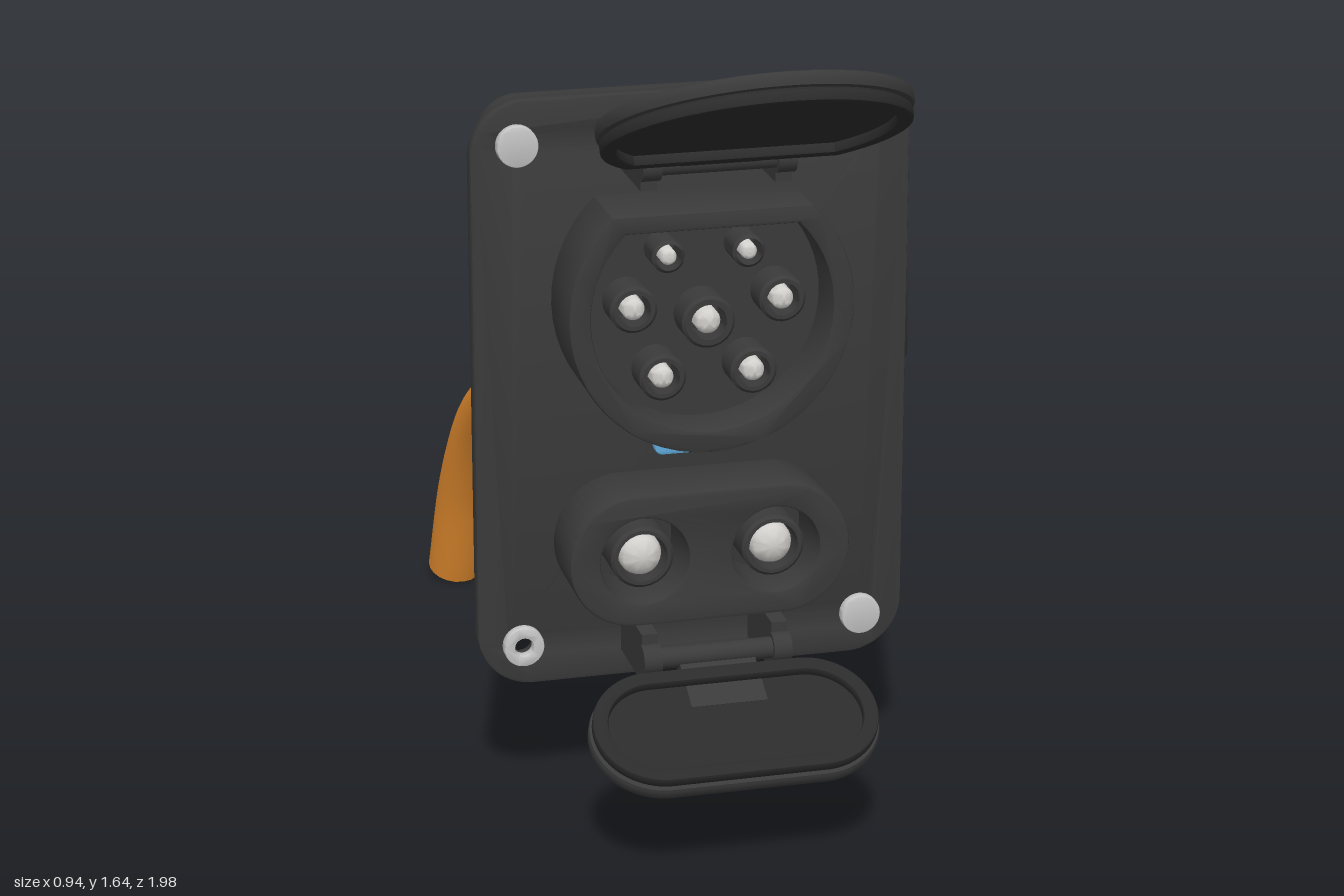
import * as THREE from 'three';
import { toCreasedNormals } from 'three/addons/utils/BufferGeometryUtils.js';

const CX = -0.04; // centre line of the housing
const material = (name, color) => {
  const m = new THREE.MeshStandardMaterial({ color });
  m.name = name;
  return m;
};

// Shapes
function roundRect(w, h, r, cx = 0, cy = 0) {
  const s = new THREE.Shape(), x = w / 2 - r, y = h / 2 - r;
  s.absarc(cx + x, cy + y, r, 0, Math.PI / 2);
  s.absarc(cx - x, cy + y, r, Math.PI / 2, Math.PI);
  s.absarc(cx - x, cy - y, r, Math.PI, Math.PI * 1.5);
  s.absarc(cx + x, cy - y, r, Math.PI * 1.5, Math.PI * 2);
  s.closePath();
  return s;
}
// Circle with one flat side, at the top or at the bottom
function cutCircle(r, cut, flatTop) {
  const s = new THREE.Shape(), b = Math.asin(cut / r), o = flatTop ? Math.PI : 0;
  s.absarc(0, 0, r, o - b, o + Math.PI + b);
  s.closePath();
  return s;
}
const circle = (r, x = 0, y = 0) => new THREE.Shape().absarc(x, y, r, 0, Math.PI * 2);
function withHoles(shape, ...holes) {
  shape.holes.push(...holes);
  return shape;
}

// Slab between two z values, with an edge rounding inside its outline
function slab(shape, z0, z1, bevel = 0, steps = 2) {
  const g = new THREE.ExtrudeGeometry(shape, {
    depth: z1 - z0 - 2 * bevel, bevelEnabled: bevel > 0, bevelSize: bevel,
    bevelThickness: bevel, bevelOffset: -bevel, bevelSegments: steps, curveSegments: 20,
  });
  g.translate(0, 0, z0 + bevel);
  return toCreasedNormals(g, 0.6);
}
// Turned part along z; profile is [radius, z]
function turned(profile, sides = 24) {
  const pts = profile.map(([r, z]) => new THREE.Vector2(r, z));
  return toCreasedNormals(new THREE.LatheGeometry(pts, sides).rotateX(Math.PI / 2).scale(1, 1, 1), 0.7);
}

export function createModel() {
  const root = new THREE.Group();
  root.name = 'chargingInlet';
  const black = material('black plastic', 0x3a3a3a);
  const dark = material('dark seal', 0x2b2b2b);
  const orange = material('orange cable', 0xe08a2e);
  const steel = material('screw steel', 0xc6c6c6);
  const metal = material('contact metal', 0xd2d0cc);
  const blue = material('blue lamp', 0x5fa9d9);
  const add = (name, geo, mat, x = 0, y = 0, z = 0, parent = root) => {
    const m = new THREE.Mesh(geo, mat);
    m.name = name;
    m.position.set(x, y, z);
    parent.add(m);
    return m;
  };

  // Housing and mounting plate
  const corners = [[-0.342, 0.505], [0.342, 0.505], [-0.342, -0.505], [0.342, -0.505]];
  const plate = withHoles(roundRect(0.86, 1.18, 0.11), ...corners.map(([x, y]) => circle(0.024, x, y)));
  add('mountingPlate', slab(plate, 0.25, 0.285, 0.006), black, CX, 0.845);
  add('housing', slab(roundRect(0.675, 0.99, 0.085), -0.16, 0.255, 0.035, 5), black, CX, 0.845);

  // Corner screws, the lower right one hollow
  corners.forEach(([x, y], i) => {
    const head = i === 2 ? withHoles(circle(0.04), circle(0.018)) : circle(0.04);
    add('screw', slab(head, 0.28, 0.305, 0.004), steel, CX + x, 0.845 + y);
  });

  // Side actuator
  const a = 0.13, actuator = [[0, -a], [0.075, -a], [0.084, -a + 0.004], [0.088, -a + 0.013],
    [0.088, a - 0.013], [0.084, a - 0.004], [0.075, a], [0, a]];
  add('actuator', toCreasedNormals(new THREE.LatheGeometry(
    actuator.map(([r, y]) => new THREE.Vector2(r, y)), 36), 0.7), black, 0.377, 0.92, 0.048);

  // Upper socket
  add('upperSocket', slab(withHoles(cutCircle(0.278, 0.2, true), cutCircle(0.235, 0.165, true)),
    0.28, 0.44, 0.006), black, CX, 1.04);
  add('upperSocketFloor', slab(cutCircle(0.245, 0.172, true), 0.28, 0.34), black, CX, 1.04);

  // Sleeved contact pin
  const contact = (x, y, ro, ri, rp, z0, z1) => {
    add('contactSleeve', turned([[ro, z0], [ro, z1 - 0.006], [ro - 0.006, z1], [ri, z1], [ri, z0]]), black, x, y);
    const t = z1 + 0.005;
    add('contactPin', turned([[rp, z0], [rp, t - rp * 0.7], [rp * 0.87, t - rp * 0.35],
      [rp * 0.5, t - rp * 0.1], [0, t]]), metal, x, y);
  };
  [[-0.078, 1.147, 0.032, 0.016], [0.078, 1.147, 0.032, 0.016], [-0.145, 1.048, 0.046, 0.022],
    [0.145, 1.048, 0.046, 0.022], [0, 1.013, 0.052, 0.025], [-0.089, 0.909, 0.046, 0.022],
    [0.089, 0.909, 0.046, 0.022]].forEach(([x, y, ro, rp]) =>
    contact(CX + x, y, ro, rp + 0.01, rp, 0.33, 0.41));

  // Lamp between the sockets
  add('statusLamp', slab(roundRect(0.16, 0.034, 0.0165), 0.28, 0.305, 0.004), blue, CX, 0.732);

  // Lower socket with two power contacts
  add('lowerSocket', slab(withHoles(roundRect(0.555, 0.265, 0.132), circle(0.087, -0.13, 0), circle(0.087, 0.13, 0)),
    0.28, 0.43, 0.006), black, CX, 0.548);
  for (const s of [-1, 1]) contact(CX + s * 0.13, 0.548, 0.062, 0.049, 0.042, 0.285, 0.41);

  // Lids: local y points away from the hinge, local z is the inner side
  const lid = (name, dir, y, z, outline, reach) => {
    const g = new THREE.Group();
    g.name = name;
    const d = new THREE.Vector3(0, dir * 0.47, 0.883), n = new THREE.Vector3(0, -dir * 0.883, 0.47);
    g.quaternion.setFromRotationMatrix(new THREE.Matrix4().makeBasis(new THREE.Vector3(dir, 0, 0), d, n));
    g.position.set(CX, y, z);
    add('lidCover', slab(outline(0), 0, 0.028, 0.006), black, 0, 0, 0, g);
    add('lidCore', slab(outline(0.012), 0.02, 0.035), dark, 0, 0, 0, g);
    add('lidRim', slab(withHoles(outline(0.005), outline(0.035)), 0.031, 0.054, 0.005), dark, 0, 0, 0, g);
    add('lidArm', new THREE.BoxGeometry(0.15, 0.13, 0.024), black, 0, -reach + 0.06, 0.024, g);
    root.add(g);

    // Hinge brackets and pin
    const hy = dir > 0 ? 1.345 : 0.36;
    for (const s of [-1, 1]) {
      add('hingeBracket', new THREE.BoxGeometry(0.032, 0.1, 0.175), black, CX + s * 0.129, hy, 0.3725);
      add('hingeKnuckle', new THREE.CylinderGeometry(0.03, 0.03, 0.036, 20).rotateZ(Math.PI / 2),
        black, CX + s * 0.129, hy, 0.463);
    }
    add('hingePin', new THREE.CylinderGeometry(0.021, 0.021, 0.26, 16).rotateZ(Math.PI / 2), black, CX, hy, 0.463);
  };
  lid('upperLid', 1, 1.508, 0.715, (i) => cutCircle(0.285 - i, 0.2 - i, false), 0.3);
  lid('lowerLid', -1, 0.247, 0.6, (i) => roundRect(0.565 - 2 * i, 0.27 - 2 * i, 0.134 - i), 0.173);

  // Cables leaving the back
  const cable = (name, mat, r, pts) => {
    const curve = new THREE.CatmullRomCurve3(pts.map((p) => new THREE.Vector3(...p)));
    add(name, new THREE.TubeGeometry(curve, 48, r, 20), mat);
    const end = add(name + 'End', new THREE.CircleGeometry(r, 20), mat, ...pts[pts.length - 1]);
    end.lookAt(end.position.clone().add(curve.getTangent(1)));
  };
  const gland = (x, y, r) =>
    add('cableGland', slab(circle(r), -0.295, -0.15, 0.005), black, x, y);
  for (const s of [-1, 1]) {
    const x = (o) => CX + s * o;
    gland(x(0.16), 0.623, 0.079);
    cable('powerCable', orange, 0.061, [[x(0.16), 0.63, -0.26], [x(0.172), 0.612, -0.45], [x(0.192), 0.545, -0.61],
      [x(0.213), 0.435, -0.74], [x(0.23), 0.26, -0.85], [x(0.243), 0.025, -0.937]]);
  }
  gland(CX, 1.07, 0.057);
  cable('middleCable', orange, 0.039, [[CX, 1.09, -0.26], [CX, 1.083, -0.38], [CX, 1.005, -0.51],
    [CX, 0.85, -0.62], [CX, 0.62, -0.72], [CX, 0.4, -0.81], [CX, 0.025, -0.94]]);
  cable('signalCable', black, 0.02, [[0.185, 1.178, -0.14], [0.2, 1.19, -0.29], [0.222, 1.135, -0.47],
    [0.245, 1.015, -0.63], [0.268, 0.845, -0.755], [0.28, 0.66, -0.83], [0.295, 0.41, -0.9]]);

  return root;
}
